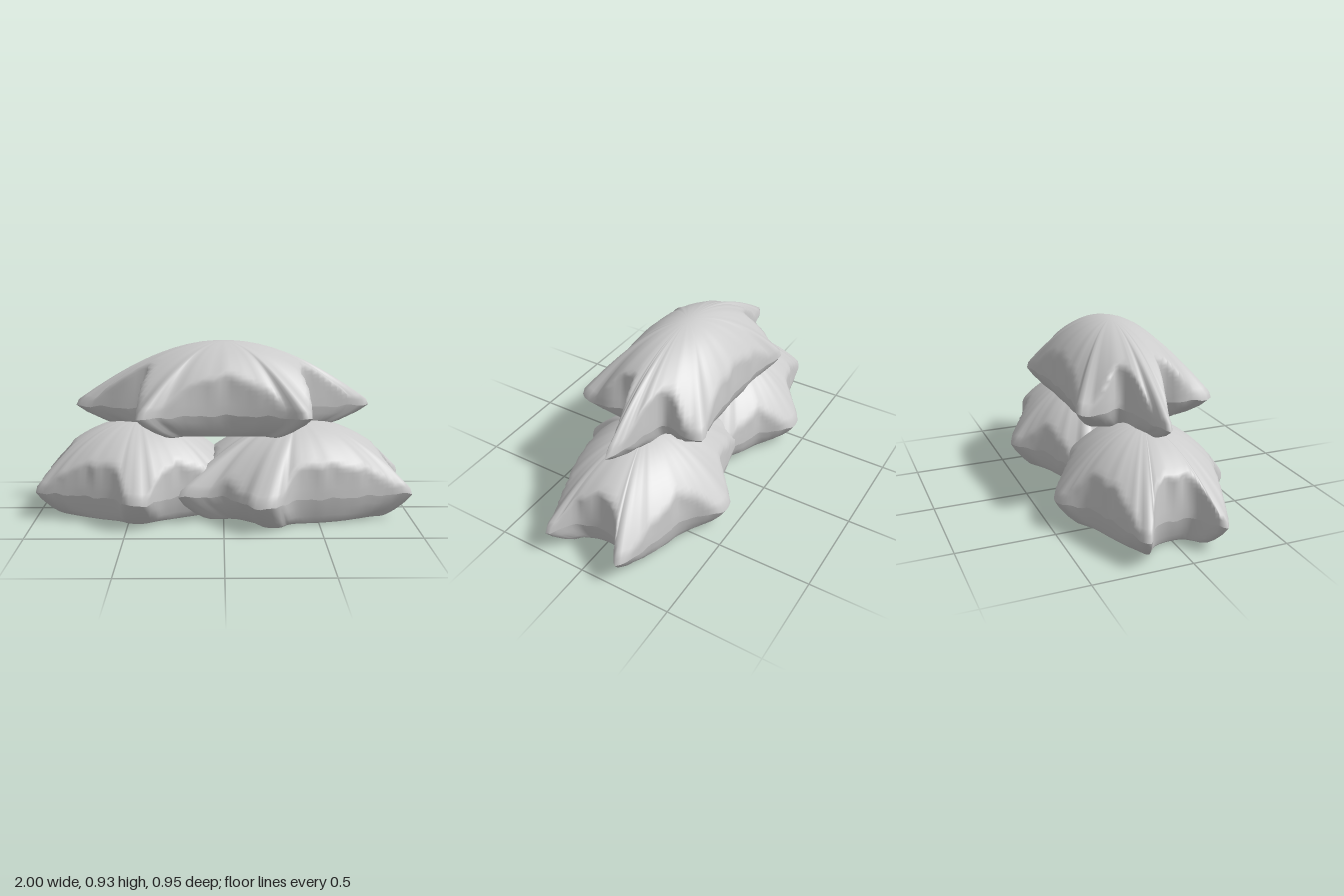
import * as THREE from 'three';

const SAMPLES = 144;
const material = new THREE.MeshStandardMaterial({ color: 0xcccccc, side: THREE.DoubleSide });

// Skin made of closed rings running from the seam to a centre point.
function skin(name, rings, centre, flip) {
  const pos = [], index = [];
  rings.forEach(r => r.forEach(p => pos.push(...p)));
  pos.push(...centre);
  const tri = (a, b, c) => (flip ? index.push(a, c, b) : index.push(a, b, c));
  const last = rings.length * SAMPLES;
  for (let i = 0; i < rings.length; i++) {
    for (let j = 0; j < SAMPLES; j++) {
      const k = (j + 1) % SAMPLES;
      const a = i * SAMPLES + j, b = i * SAMPLES + k;
      if (i === rings.length - 1) tri(a, b, last);
      else {
        tri(a, b, b + SAMPLES);
        tri(a, b + SAMPLES, a + SAMPLES);
      }
    }
  }
  const g = new THREE.BufferGeometry();
  g.setAttribute('position', new THREE.Float32BufferAttribute(pos, 3));
  g.setIndex(index);
  g.computeVertexNormals();
  const mesh = new THREE.Mesh(g, material);
  mesh.name = name;
  return mesh;
}

// Filled sack: an oval dome pulled out to the corners and cut by steep, gathered sides.
function sack({ name, cx, cz, rx, rz, base, seam, top, power, flat, outline }) {
  const curve = new THREE.CatmullRomCurve3(
    outline.map(([x, z]) => new THREE.Vector3(x, 0, z)), true, 'centripetal');
  const rim = curve.getSpacedPoints(SAMPLES).slice(0, SAMPLES);
  const gather = j => Math.sin(j * 0.95) * 0.6 + Math.sin(j * 1.71 + 1) * 0.4;
  const seamHeight = j => seam + 0.008 * gather(j);

  // scale(oval, j) gives the share of the seam radius reached in direction j.
  const ring = (scale, height) => rim.map((p, j) => {
    const dx = p.x - cx, dz = p.z - cz;
    const k = scale(1 / Math.hypot(dx / rx, dz / rz), j);
    return [cx + dx * k, height(j), cz + dz * k];
  });

  const domeSteps = [1, 0.985, 0.95, 0.91, 0.87, 0.83, 0.79, 0.75, 0.71, 0.67, 0.63, 0.58,
    0.52, 0.45, 0.37, 0.28, 0.18, 0.09];
  const upper = domeSteps.map(s => {
    const drop = s === 1 ? 1 : (0.97 * s) ** power;
    return ring((oval, j) => Math.min(
      s * THREE.MathUtils.lerp(oval, Math.max(oval, 1), s * s),
      1 - (1 - s) * (0.1 + 0.12 * gather(j))),
    j => THREE.MathUtils.lerp(top, seamHeight(j), drop));
  });

  // Underside: t runs from the seam to the edge of the flat part, h is the height left.
  const lower = [[0, 1], [0.2, 0.7], [0.55, 0.33], [0.85, 0.09], [1, 0.02], [1.3, 0]].map(([t, h]) => {
    const s = 1 - (1 - flat) * t;
    return ring(oval => (s + Math.min(1, s * Math.max(oval, 1))) / 2,
      j => THREE.MathUtils.lerp(base, seamHeight(j), h));
  });

  const group = new THREE.Group();
  group.name = name;
  group.add(skin('sackTop', upper, [cx, top, cz], false));
  group.add(skin('sackBottom', lower, [cx, base, cz], true));
  return group;
}

export function createModel() {
  const model = new THREE.Group();
  model.name = 'sackPile';

  model.add(sack({
    name: 'lowerLeftSack', cx: 0.4, cz: -0.01, rx: 0.64, rz: 0.44,
    base: 0, seam: 0.145, top: 0.505, power: 2.1, flat: 0.75,
    outline: [[1, -0.21], [0.8, -0.28], [0.55, -0.34], [0.43, -0.46], [0.34, -0.47], [0.2, -0.34],
      [0, -0.29], [-0.22, -0.22], [-0.1, -0.1], [-0.08, 0.1], [-0.25, 0.24], [-0.23, 0.28], [0, 0.28],
      [0.09, 0.38], [0.15, 0.46], [0.25, 0.47], [0.36, 0.35], [0.6, 0.3], [0.85, 0.24], [1, 0.21],
      [0.86, 0.1], [0.85, -0.1]],
  }));

  model.add(sack({
    name: 'lowerRightSack', cx: -0.46, cz: -0.02, rx: 0.58, rz: 0.44,
    base: 0.01, seam: 0.145, top: 0.505, power: 2.1, flat: 0.75,
    outline: [[0.08, -0.19], [-0.08, -0.28], [-0.25, -0.34], [-0.37, -0.46], [-0.47, -0.47],
      [-0.56, -0.36], [-0.72, -0.3], [-1, -0.22], [-0.86, -0.12], [-0.85, 0.06], [-1, 0.17],
      [-0.75, 0.25], [-0.56, 0.32], [-0.5, 0.41], [-0.4, 0.42], [-0.3, 0.31], [-0.18, 0.25],
      [0.04, 0.18], [-0.03, 0]],
  }));

  model.add(sack({
    name: 'upperSack', cx: 0, cz: -0.01, rx: 0.71, rz: 0.38,
    base: 0.45, seam: 0.575, top: 0.93, power: 2.1, flat: 0.64,
    outline: [[0.79, -0.03], [0.55, -0.09], [0.42, -0.13], [0.45, -0.24], [0.43, -0.35], [0.3, -0.32],
      [0, -0.3], [-0.3, -0.32], [-0.44, -0.35], [-0.45, -0.22], [-0.42, -0.12], [-0.6, -0.08],
      [-0.8, -0.03], [-0.58, 0.04], [-0.4, 0.1], [-0.44, 0.2], [-0.43, 0.37], [-0.3, 0.31],
      [0, 0.26], [0.3, 0.31], [0.43, 0.37], [0.45, 0.2], [0.41, 0.08], [0.56, 0.02]],
  }));

  return model;
}
